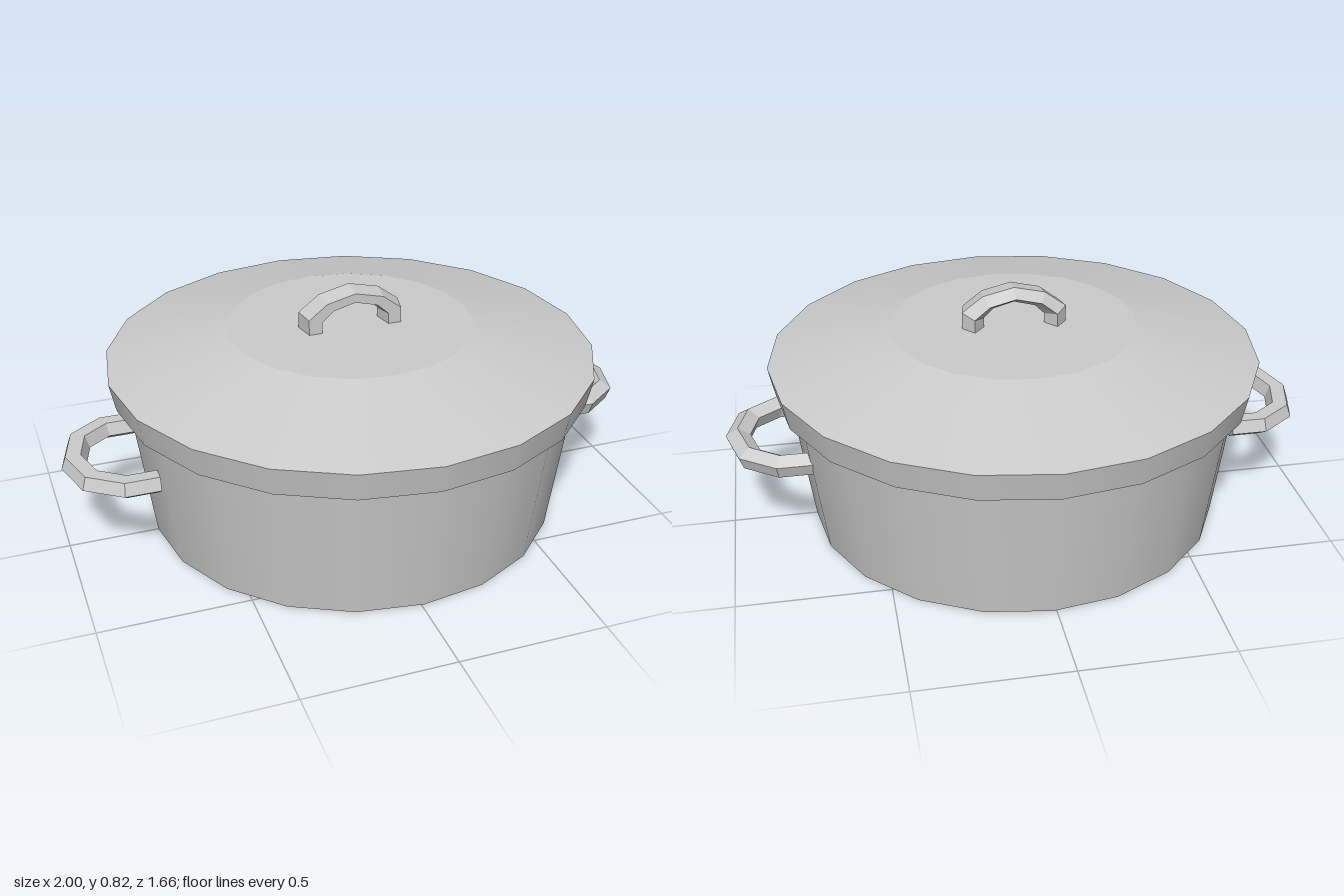
import * as THREE from 'three';

const SIDES = 20;

function createMaterial(flatShading) {
  return new THREE.MeshStandardMaterial({ color: 0xcccccc, flatShading });
}

// Round band between two heights, with optional end discs
function band(name, rBottom, rTop, y0, y1, open = true) {
  const geo = new THREE.CylinderGeometry(rTop, rBottom, y1 - y0, SIDES, 1, open);
  const mesh = new THREE.Mesh(geo, createMaterial(false));
  mesh.name = name;
  mesh.position.y = (y0 + y1) / 2;
  return mesh;
}

function disc(name, r, y, up) {
  const geo = new THREE.CircleGeometry(r, SIDES);
  geo.rotateX(up ? -Math.PI / 2 : Math.PI / 2);
  const mesh = new THREE.Mesh(geo, createMaterial(false));
  mesh.name = name;
  mesh.position.y = y;
  return mesh;
}

// Five-sided bar swept along an arch in the XY plane, mitred at each bend.
// half: right half of the arch from the top to the foot; ru, rv, rz: bar radii
function archGeometry(half, ru, rv, rz) {
  const path = [
    ...half.slice(1).reverse().map(([x, y]) => new THREE.Vector2(-x, y)),
    ...half.map(([x, y]) => new THREE.Vector2(x, y)),
  ];
  const N = 5;
  const pos = [];
  const idx = [];
  path.forEach((p, i) => {
    const a = path[Math.max(i - 1, 0)];
    const b = path[Math.min(i + 1, path.length - 1)];
    const d1 = (i > 0 ? p.clone().sub(a) : b.clone().sub(p)).normalize();
    const d2 = (i < path.length - 1 ? b.clone().sub(p) : d1.clone()).normalize();
    const t = d1.clone().add(d2).normalize();
    const miter = 1 / t.dot(d1);
    for (let j = 0; j < N; j++) {
      const th = (j / N) * Math.PI * 2;
      const s = Math.sin(th) * miter;
      pos.push(p.x - t.y * s * ru, p.y + t.x * s * rv, Math.cos(th) * rz);
    }
  });
  for (let i = 0; i < path.length - 1; i++) {
    for (let j = 0; j < N; j++) {
      const k = (j + 1) % N;
      const a = i * N + j, b = (i + 1) * N + j, c = (i + 1) * N + k, d = i * N + k;
      idx.push(a, b, c, a, c, d);
    }
  }
  // End caps
  const last = (path.length - 1) * N;
  for (let j = 1; j < N - 1; j++) {
    idx.push(0, j, j + 1, last, last + j + 1, last + j);
  }
  const geo = new THREE.BufferGeometry();
  geo.setAttribute('position', new THREE.Float32BufferAttribute(pos, 3));
  geo.setIndex(idx);
  const flat = geo.toNonIndexed();
  flat.computeVertexNormals();
  return flat;
}

export function createModel() {
  const model = new THREE.Group();
  model.name = 'casserolePot';

  // Tapered pot body
  const pot = new THREE.Group();
  pot.name = 'pot';
  pot.position.x = 0.01;
  pot.add(band('potBody', 0.705, 0.77, 0, 0.49, false));
  model.add(pot);

  // Lid: overhanging rim, sloped shoulder, flat centre
  const lid = new THREE.Group();
  lid.name = 'lid';
  lid.position.x = 0.01;
  lid.add(
    disc('lidUnderside', 0.81, 0.485, false),
    band('lidRim', 0.81, 0.83, 0.485, 0.583),
    band('lidSlope', 0.83, 0.42, 0.583, 0.68),
    disc('lidTop', 0.42, 0.68, true)
  );
  // Arched grip on the lid
  const lidArch = archGeometry(
    [[0, 0.79], [0.088, 0.768], [0.14, 0.725], [0.14, 0.665]], 0.039, 0.026, 0.0635);
  const lidHandle = new THREE.Mesh(lidArch, createMaterial(true));
  lidHandle.name = 'lidHandle';
  lidHandle.rotation.y = Math.PI;
  lidHandle.position.z = 0.003;
  lid.add(lidHandle);
  model.add(lid);

  // Side handles lie flat; the right one is turned over
  const sideArch = archGeometry(
    [[0, 0.957], [0.133, 0.92], [0.204, 0.822], [0.204, 0.715]], 0.04, 0.042, 0.0387);
  for (const s of [1, -1]) {
    const handle = new THREE.Mesh(sideArch, createMaterial(true));
    handle.name = s > 0 ? 'leftHandle' : 'rightHandle';
    const basis = new THREE.Matrix4().makeBasis(
      new THREE.Vector3(0, 0, 1),
      new THREE.Vector3(s, 0, 0),
      new THREE.Vector3(0, s, 0));
    handle.quaternion.setFromRotationMatrix(basis);
    handle.position.y = s > 0 ? 0.327 : 0.315;
    model.add(handle);
  }
  return model;
}
